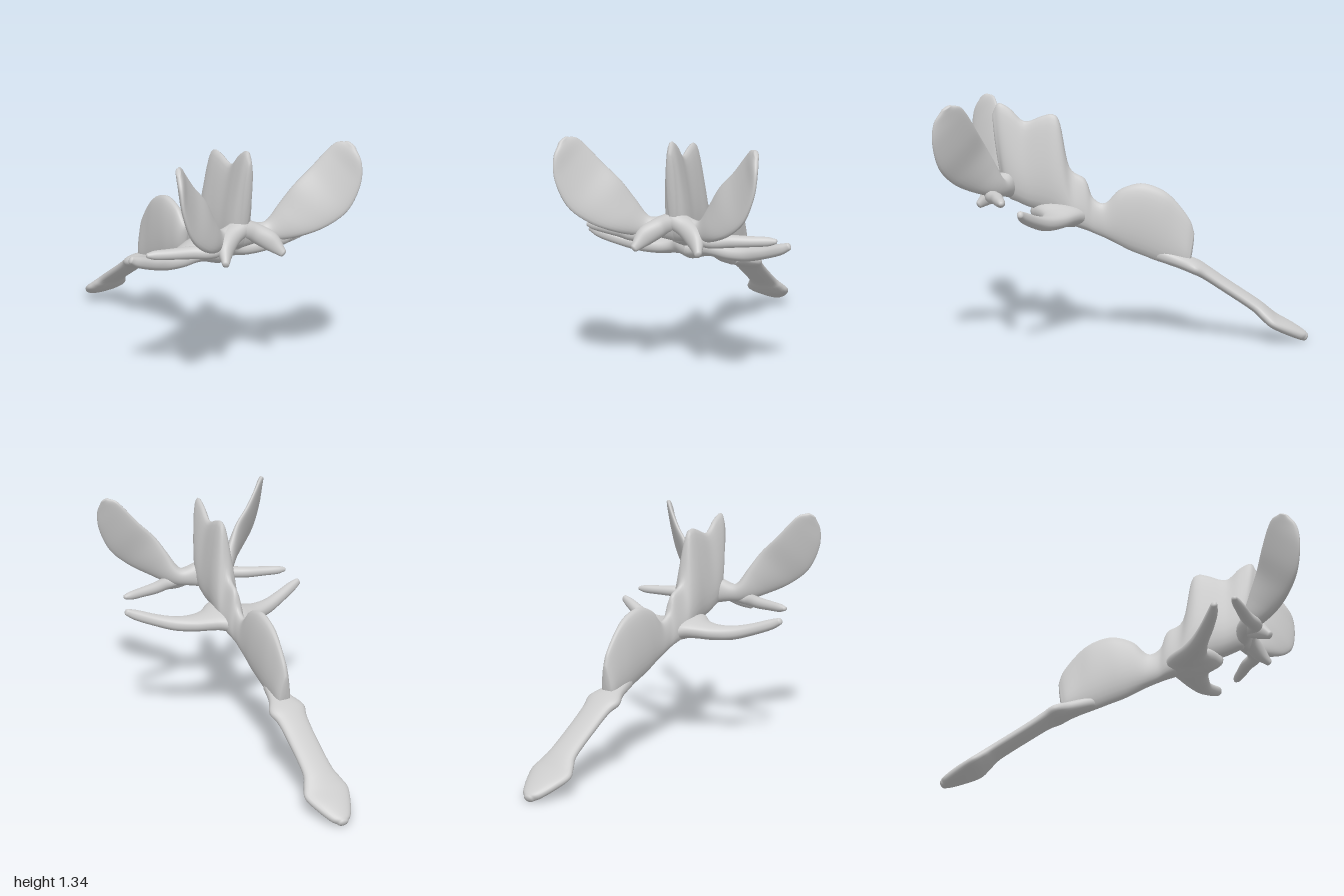
import * as THREE from 'three';

const material = new THREE.MeshStandardMaterial({ color: 0xcccccc, roughness: 0.8 });
const V = (x, y, z) => new THREE.Vector3(x, y, z);

// Smooth solid through sections [ax,ay,az, bx,by,bz, tA, tB]: an oval from edge A to
// edge B, with half thickness tA at A and tB at B, closed by rounded ends.
function loft(name, sections, mirror = 1) {
  const spline = (f) => new THREE.CatmullRomCurve3(sections.map(f), false, 'catmullrom', 0.5);
  const edgeA = spline((s) => V(s[0] * mirror, s[1], s[2]));
  const edgeB = spline((s) => V(s[3] * mirror, s[4], s[5]));
  const thick = spline((s) => V(s[6], s[7] ?? s[6], 0));
  const rings = (sections.length - 1) * 5, sides = 28, capSteps = 4;
  const centre = (u) => edgeA.getPoint(u).lerp(edgeB.getPoint(u), 0.5);

  // stations along the solid: u, scale and outward shift of the rounded ends
  const stations = [];
  for (let k = capSteps; k > 0; k--) stations.push([0, k, -1]);
  for (let i = 0; i <= rings; i++) stations.push([i / rings, 0, 0]);
  for (let k = 1; k <= capSteps; k++) stations.push([1, k, 1]);

  const pos = [], index = [];
  let lastSide = null;
  for (const [u, k, dir] of stations) {
    const a = edgeA.getPoint(u), b = edgeB.getPoint(u), t = thick.getPoint(u);
    const tangent = centre(Math.min(u + 0.01, 1)).sub(centre(Math.max(u - 0.01, 0))).normalize();
    const half = b.clone().sub(a).multiplyScalar(0.5);
    const side = tangent.clone().cross(half).normalize();
    if (lastSide && side.dot(lastSide) < 0) side.negate();
    lastSide = side;
    const angle = (k / capSteps) * Math.PI / 2;
    const scale = Math.max(Math.cos(angle), 0.001);
    const c = a.clone().lerp(b, 0.5)
      .addScaledVector(tangent, dir * Math.sin(angle) * Math.min(t.x, t.y) * 0.6);
    for (let j = 0; j < sides; j++) {
      const q = (j / sides) * Math.PI * 2, s = Math.sin(q), f = (1 - Math.cos(q)) / 2;
      const w = t.y + (t.x - t.y) * Math.pow(1 - f, 1.5);
      const p = c.clone().addScaledVector(half, -Math.cos(q) * scale)
        .addScaledVector(side, Math.sign(s) * Math.pow(Math.abs(s), 0.85) * w * scale);
      pos.push(p.x, p.y, p.z);
    }
  }
  for (let i = 0; i < stations.length - 1; i++) {
    for (let j = 0; j < sides; j++) {
      const p = i * sides + j, q = i * sides + ((j + 1) % sides);
      index.push(p, q, p + sides, q, q + sides, p + sides);
    }
  }
  // turn the faces outward
  const at = (i) => V(pos[i * 3], pos[i * 3 + 1], pos[i * 3 + 2]);
  let volume = 0;
  for (let i = 0; i < index.length; i += 3) {
    volume += at(index[i]).dot(at(index[i + 1]).cross(at(index[i + 2])));
  }
  if (volume < 0) index.reverse();

  const geometry = new THREE.BufferGeometry();
  geometry.setAttribute('position', new THREE.Float32BufferAttribute(pos, 3));
  geometry.setIndex(index);
  geometry.computeVertexNormals();
  const mesh = new THREE.Mesh(geometry, material);
  mesh.name = name;
  return mesh;
}

export function createModel() {
  const model = new THREE.Group();
  model.name = 'boneModel';

  // body with its two crests: bottom y, z, top y, z, half width at bottom and top
  const body = [
    [0.87, 0.71, 1.28, 0.765, 0.03, 0.025],
    [0.80, 0.68, 1.33, 0.735, 0.07, 0.035],
    [0.78, 0.64, 1.30, 0.67, 0.09, 0.035],
    [0.75, 0.57, 1.23, 0.59, 0.09, 0.035],
    [0.73, 0.50, 1.26, 0.49, 0.09, 0.038],
    [0.70, 0.42, 1.27, 0.43, 0.10, 0.038],
    [0.66, 0.36, 1.22, 0.39, 0.10, 0.035],
    [0.64, 0.30, 0.98, 0.34, 0.09, 0.035],
    [0.62, 0.24, 0.91, 0.25, 0.07, 0.03],
    [0.60, 0.19, 0.81, 0.21, 0.05, 0.03],
    [0.575, 0.13, 0.775, 0.14, 0.05, 0.035],
    [0.54, 0.06, 0.85, 0.06, 0.055, 0.04],
    [0.51, 0, 0.885, -0.03, 0.06, 0.045],
    [0.48, -0.08, 0.885, -0.1, 0.06, 0.045],
    [0.45, -0.16, 0.85, -0.19, 0.06, 0.04],
    [0.43, -0.24, 0.79, -0.26, 0.06, 0.03],
    [0.42, -0.30, 0.69, -0.335, 0.06, 0.025],
    [0.42, -0.33, 0.62, -0.36, 0.05, 0.02],
  ];
  model.add(loft('body', body.map(([yb, zb, yt, zt, wb, wt]) => [0, yb, zb, 0, yt, zt, wb, wt])));

  // flat tail blade: y, z, half width, half thickness
  const tail = [
    [0.49, -0.17, 0.04, 0.04],
    [0.455, -0.28, 0.065, 0.04],
    [0.425, -0.365, 0.105, 0.04],
    [0.39, -0.43, 0.088, 0.036],
    [0.325, -0.53, 0.082, 0.034],
    [0.215, -0.70, 0.085, 0.034],
    [0.165, -0.76, 0.11, 0.036],
    [0.125, -0.81, 0.13, 0.036],
    [0.085, -0.89, 0.1, 0.036],
    [0.05, -0.96, 0.06, 0.03],
    [0.035, -0.985, 0.03, 0.024],
  ];
  model.add(loft('tailBlade', tail.map(([y, z, w, t]) => [-w, y, z, w, y, z, t])));

  // paired parts
  const wing = [
    [0, 0.80, 0.66, 0, 0.97, 0.70, 0.05],
    [0.10, 0.82, 0.69, 0.10, 0.925, 0.69, 0.045],
    [0.18, 0.83, 0.75, 0.16, 0.935, 0.69, 0.042],
    [0.28, 0.87, 0.85, 0.21, 1.02, 0.72, 0.035],
    [0.38, 0.925, 0.92, 0.27, 1.12, 0.76, 0.028],
    [0.47, 1.01, 0.97, 0.355, 1.21, 0.79, 0.024],
    [0.525, 1.14, 0.99, 0.42, 1.29, 0.82, 0.02],
    [0.535, 1.25, 0.98, 0.465, 1.34, 0.85, 0.018],
    [0.525, 1.32, 0.94, 0.50, 1.35, 0.89, 0.014],
  ];
  const lobe = [
    [0, 0.86, 0.68, 0, 0.96, 0.70, 0.05],
    [0.06, 0.83, 0.70, 0.08, 0.93, 0.71, 0.05],
    [0.12, 0.79, 0.75, 0.16, 0.88, 0.77, 0.04],
    [0.165, 0.765, 0.81, 0.185, 0.80, 0.825, 0.018],
  ];
  const spike = [
    [0.10, 0.82, 0.71, 0.10, 0.91, 0.71, 0.045],
    [0.20, 0.80, 0.74, 0.20, 0.87, 0.74, 0.04],
    [0.30, 0.80, 0.695, 0.30, 0.865, 0.695, 0.035],
    [0.40, 0.805, 0.665, 0.40, 0.86, 0.665, 0.03],
    [0.48, 0.81, 0.64, 0.48, 0.857, 0.64, 0.024],
    [0.52, 0.822, 0.63, 0.52, 0.848, 0.63, 0.015],
  ];
  const rib = [
    [0, 0.73, 0.56, 0, 0.69, 0.22, 0.07],
    [0.06, 0.73, 0.52, 0.06, 0.70, 0.25, 0.06],
    [0.12, 0.71, 0.475, 0.12, 0.70, 0.285, 0.05],
    [0.20, 0.695, 0.475, 0.20, 0.695, 0.33, 0.044],
    [0.30, 0.70, 0.485, 0.30, 0.70, 0.385, 0.04],
    [0.40, 0.725, 0.515, 0.40, 0.725, 0.435, 0.034],
    [0.50, 0.76, 0.54, 0.50, 0.76, 0.48, 0.03],
    [0.555, 0.785, 0.54, 0.555, 0.785, 0.505, 0.02],
  ];
  for (const [label, m] of [['left', 1], ['right', -1]]) {
    model.add(
      loft(label + 'Wing', wing, m),
      loft(label + 'Lobe', lobe, m),
      loft(label + 'Spike', spike, m),
      loft(label + 'Rib', rib, m),
    );
  }
  return model;
}
